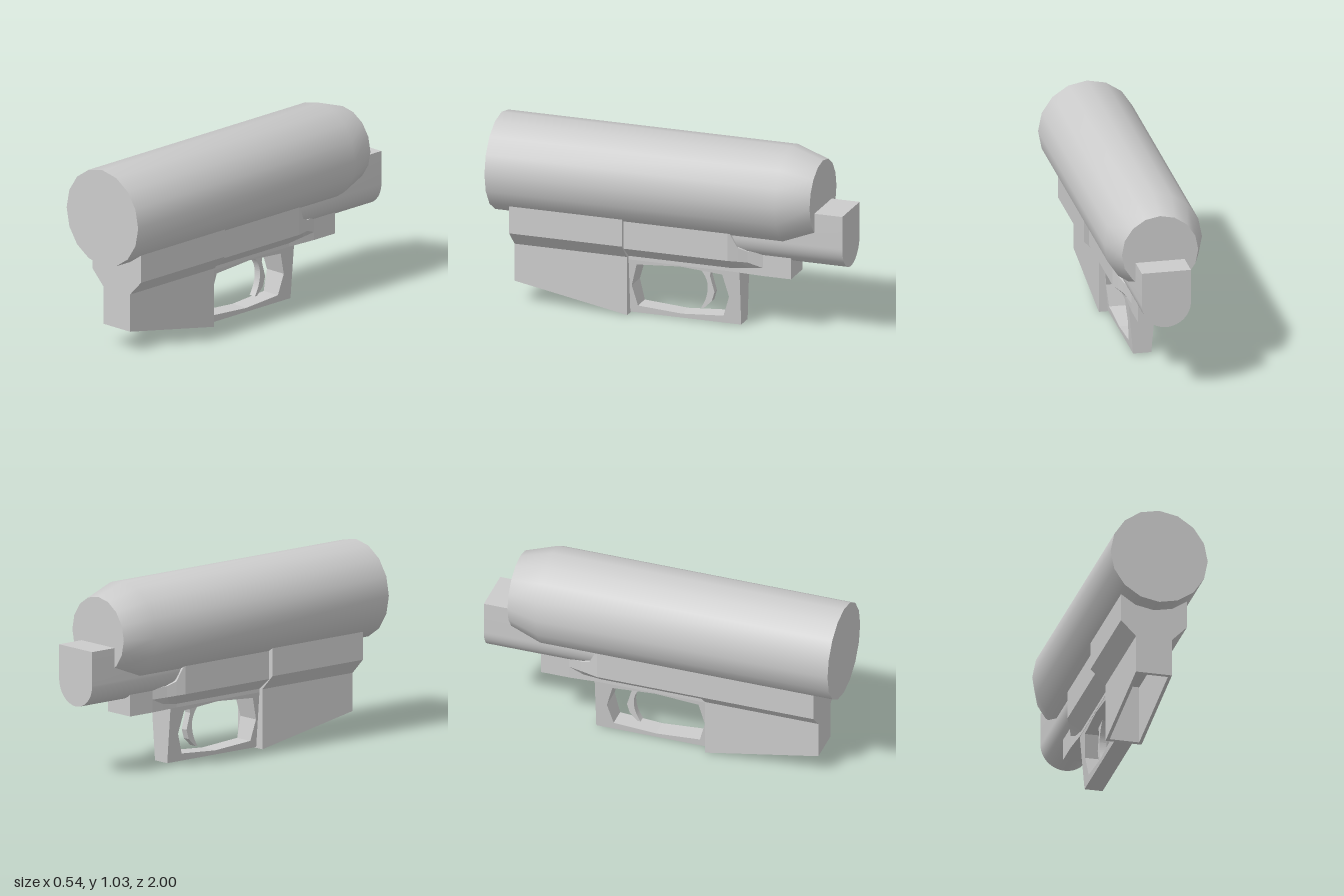
import * as THREE from 'three';
import { toCreasedNormals } from 'three/addons/utils/BufferGeometryUtils.js';

const material = new THREE.MeshStandardMaterial({ color: 0xcccccc });

function makeShape(points) {
  return new THREE.Shape(points.map(([a, b]) => new THREE.Vector2(a, b)));
}

// Side outline given as [z, y], extruded to a width centred on x
function sideExtrude(shape, width, x = 0) {
  const g = new THREE.ExtrudeGeometry(shape, { depth: width, bevelEnabled: false });
  return g.rotateY(-Math.PI / 2).translate(x + width / 2, 0, 0);
}

// Front outline given as [x, y], extruded from z0 to z1
function frontExtrude(shape, z0, z1) {
  const g = new THREE.ExtrudeGeometry(shape, { depth: z1 - z0, bevelEnabled: false, curveSegments: 16 });
  return g.translate(0, 0, z0);
}

// Symmetric sections { z, half: [[x, y] top to bottom] } joined front to back
function loft(sections) {
  const rings = sections.map(({ z, half }) => [
    ...half.map(([x, y]) => [x, y, z]),
    ...[...half].reverse().map(([x, y]) => [-x, y, z]),
  ]);
  const pos = [];
  const n = rings[0].length;
  for (let i = 0; i < rings.length - 1; i++) {
    for (let k = 0; k < n; k++) {
      const a = rings[i][k], b = rings[i][(k + 1) % n];
      const c = rings[i + 1][(k + 1) % n], d = rings[i + 1][k];
      pos.push(...a, ...b, ...c, ...a, ...c, ...d);
    }
  }
  const first = rings[0], last = rings[rings.length - 1];
  for (let k = 1; k < n - 1; k++) {
    pos.push(...last[0], ...last[k], ...last[k + 1]);
    pos.push(...first[0], ...first[k + 1], ...first[k]);
  }
  const g = new THREE.BufferGeometry();
  g.setAttribute('position', new THREE.Float32BufferAttribute(pos, 3));
  g.computeVertexNormals();
  return g;
}

export function createModel() {
  const model = new THREE.Group();
  model.name = 'launcher';
  const add = (name, geometry, parent = model) => {
    const mesh = new THREE.Mesh(geometry, material);
    mesh.name = name;
    parent.add(mesh);
    return mesh;
  };

  // Sixteen-sided barrel with a tapered rear end
  const profile = [[0, -0.84], [0.21, -0.84], [0.27, -0.66], [0.27, 1], [0, 1]];
  const barrel = new THREE.LatheGeometry(profile.map(([r, z]) => new THREE.Vector2(r, z)), 16);
  barrel.rotateX(Math.PI / 2).translate(0, 0.77, 0);
  add('barrel', toCreasedNormals(barrel, 0.6));

  // Rear tube: flat on top, round underneath
  const tube = new THREE.Shape();
  tube.moveTo(0.135, 0.72);
  tube.lineTo(-0.135, 0.72);
  tube.lineTo(-0.135, 0.535);
  tube.absarc(0, 0.535, 0.135, Math.PI, Math.PI * 2, false);
  tube.closePath();
  add('rearTube', toCreasedNormals(frontExtrude(tube, -1, -0.3), 0.6));

  // Magazine housing: wide shoulder above, hollow sloping box below
  const magazine = new THREE.Group();
  magazine.name = 'magazineHousing';
  model.add(magazine);
  const zBack = 0.245, zFront = 0.89, wall = 0.018;
  const bottomAt = (z) => 0.005 + 0.12 * (z - zBack) / (zFront - zBack);
  add('shoulder', frontExtrude(makeShape([
    [-0.183, 0.578], [-0.183, 0.42], [-0.1, 0.335],
    [0.1, 0.335], [0.183, 0.42], [0.183, 0.578],
  ]), zBack, zFront), magazine);
  const panel = (z0, z1) => makeShape([[z0, 0.335], [z0, bottomAt(z0)], [z1, bottomAt(z1)], [z1, 0.335]]);
  for (const s of [-1, 1]) {
    add('sideWall', sideExtrude(panel(zBack, zFront), wall, s * (0.1 - wall / 2)), magazine);
  }
  const inner = 0.2 - 2 * wall;
  add('frontWall', sideExtrude(panel(zFront - wall, zFront), inner), magazine);
  add('backWall', sideExtrude(panel(zBack, zBack + wall), inner), magazine);

  // Receiver narrowing into the rear block
  const body = [[0.155, 0.575], [0.155, 0.4], [0.078, 0.335], [0.078, 0.315]];
  const block = [[0.09, 0.443], [0.09, 0.385], [0.09, 0.36], [0.09, 0.315]];
  add('receiver', loft([
    { z: 0.245, half: body },
    { z: -0.35, half: body },
    { z: -0.4, half: [[0.137, 0.475], [0.137, 0.396], [0.081, 0.342], [0.081, 0.315]] },
    { z: -0.45, half: [[0.117, 0.453], [0.117, 0.391], [0.085, 0.349], [0.085, 0.315]] },
    { z: -0.53, half: block },
    { z: -0.69, half: block },
  ]));

  // Trigger guard, flaring from a narrow bottom to the receiver
  const guard = makeShape([[0.245, 0.33], [0.245, 0.01], [-0.39, 0.01], [-0.39, 0.33]]);
  guard.holes.push(new THREE.Path([
    [0.2, 0.29], [-0.05, 0.308], [-0.29, 0.29], [-0.325, 0.165],
    [-0.29, 0.05], [-0.05, 0.033], [0.2, 0.05], [0.232, 0.165],
  ].map(([z, y]) => new THREE.Vector2(z, y))));
  const guardGeometry = sideExtrude(guard, 2);
  const p = guardGeometry.attributes.position;
  for (let i = 0; i < p.count; i++) {
    p.setX(i, p.getX(i) * (0.05 + 0.028 * (p.getY(i) - 0.01) / 0.32));
  }
  guardGeometry.computeVertexNormals();
  add('triggerGuard', guardGeometry);

  // Curved trigger
  const trigger = new THREE.Shape();
  trigger.moveTo(-0.11, 0.315);
  trigger.quadraticCurveTo(-0.178, 0.27, -0.187, 0.2);
  trigger.quadraticCurveTo(-0.19, 0.13, -0.148, 0.068);
  trigger.lineTo(-0.165, 0.068);
  trigger.lineTo(-0.21, 0.112);
  trigger.lineTo(-0.226, 0.165);
  trigger.lineTo(-0.2, 0.255);
  trigger.lineTo(-0.212, 0.315);
  trigger.closePath();
  add('trigger', sideExtrude(trigger, 0.04));

  return model;
}
